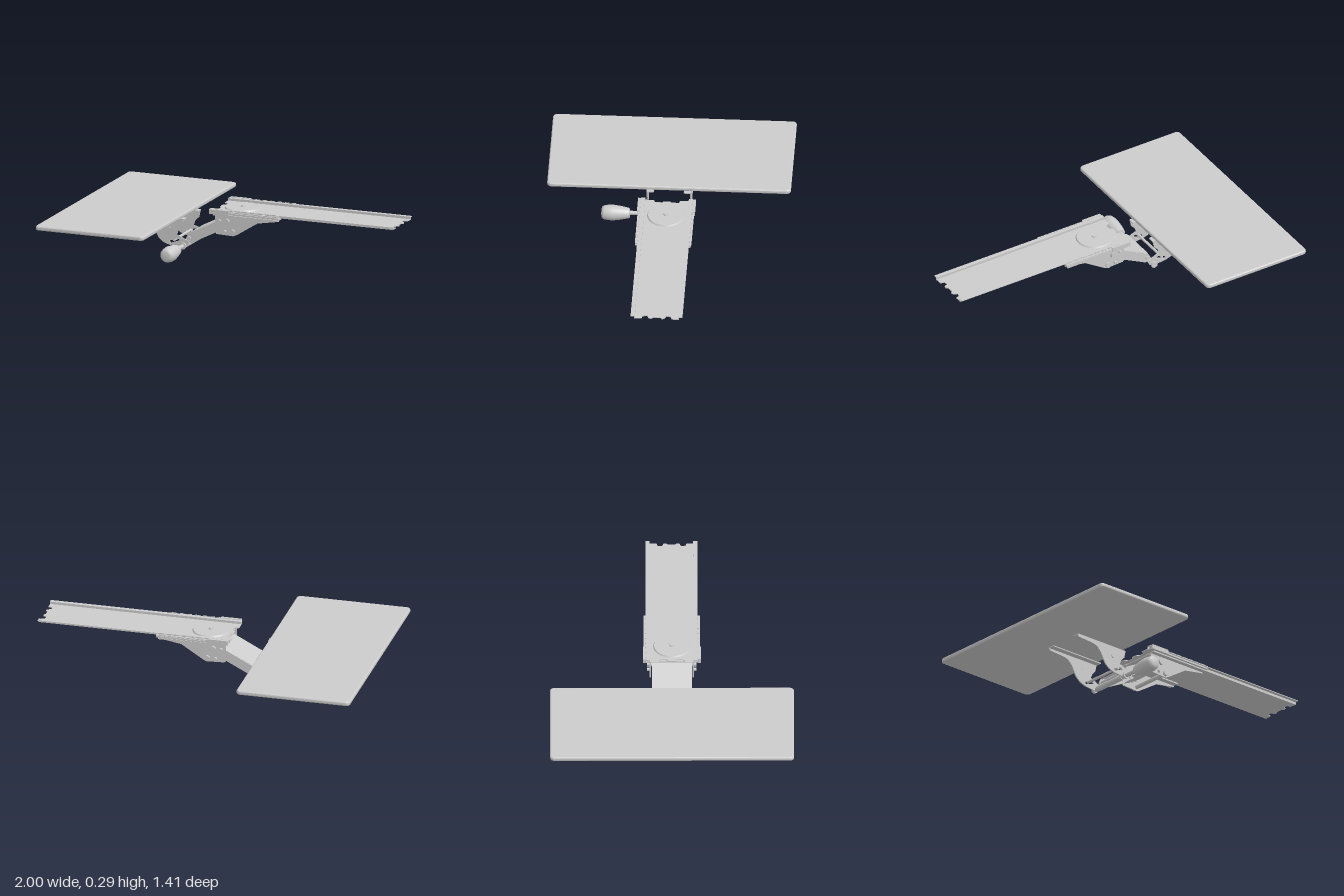
import * as THREE from 'three';

const mat = new THREE.MeshStandardMaterial({ color: 0xcccccc, side: THREE.DoubleSide });

// polygon (x, y) as a Shape
const poly = (pts) => new THREE.Shape(pts.map(([x, y]) => new THREE.Vector2(x, y)));

function circleHole(shape, x, y, r) {
  const p = new THREE.Path();
  p.absarc(x, y, r, 0, Math.PI * 2, true);
  shape.holes.push(p);
  return shape;
}

function roundedRect(x0, y0, x1, y1, r) {
  const s = new THREE.Shape();
  s.absarc(x1 - r, y1 - r, r, 0, Math.PI / 2);
  s.absarc(x0 + r, y1 - r, r, Math.PI / 2, Math.PI);
  s.absarc(x0 + r, y0 + r, r, Math.PI, Math.PI * 1.5);
  s.absarc(x1 - r, y0 + r, r, Math.PI * 1.5, Math.PI * 2);
  return s;
}

export function createModel() {
  const model = new THREE.Group();
  model.name = 'adjustableTrayArm';

  const add = (name, geo, x = 0, y = 0, z = 0) => {
    const m = new THREE.Mesh(geo, mat);
    m.name = name;
    m.position.set(x, y, z);
    model.add(m);
    return m;
  };
  const box = (name, x0, x1, y0, y1, z0, z1) =>
    add(name, new THREE.BoxGeometry(x1 - x0, y1 - y0, z1 - z0), (x0 + x1) / 2, (y0 + y1) / 2, (z0 + z1) / 2);
  // upright side plate, centred on z
  const sidePlate = (name, shape, z, t = 0.008) =>
    add(name, new THREE.ExtrudeGeometry(shape, { depth: t, bevelEnabled: false, curveSegments: 10 }), 0, 0, z - t / 2);
  // horizontal plate; shape y becomes -z
  const flatPlate = (name, shape, y, t) => {
    const g = new THREE.ExtrudeGeometry(shape, { depth: t, bevelEnabled: false, curveSegments: 10 });
    return add(name, g.rotateX(-Math.PI / 2), 0, y, 0);
  };
  // round bar along z
  const bar = (name, x, y, z0, z1, r, sides = 20) =>
    add(name, new THREE.CylinderGeometry(r, r, z1 - z0, sides).rotateX(Math.PI / 2), x, y, (z0 + z1) / 2);

  // tray board with rounded rim
  const b = 0.009;
  const board = new THREE.ExtrudeGeometry(roundedRect(-0.332 + b, -0.69 + b, 0.332 - b, 0.69 - b, 0.016), {
    depth: 0.026 - 2 * b, bevelThickness: b, bevelSize: b, bevelSegments: 4, curveSegments: 8,
  }).rotateX(-Math.PI / 2);
  add('trayBoard', board, -0.658, 0.203 + b, 0);

  // track web with notched ends
  const web = poly([
    [-0.145, -0.125], [0.972, -0.125], [0.972, -0.085], [0.95, -0.08], [0.945, -0.055], [0.968, -0.045], [0.972, -0.03],
    [0.96, -0.02], [0.96, 0.02], [0.972, 0.03], [0.968, 0.045], [0.945, 0.055], [0.95, 0.08], [0.972, 0.085], [0.972, 0.125],
    [-0.145, 0.125], [-0.145, 0.075], [-0.12, 0.065], [-0.12, 0.03], [-0.135, 0.02], [-0.135, -0.02],
    [-0.12, -0.03], [-0.12, -0.065], [-0.145, -0.075],
  ]);
  flatPlate('trackWeb', web, 0.266, 0.005);

  // swivel disc with centre bolt
  add('swivelDisc', new THREE.CylinderGeometry(0.1, 0.105, 0.008, 48), 0, 0.275, 0);
  add('swivelBolt', new THREE.CylinderGeometry(0.012, 0.015, 0.01, 6), 0, 0.283, 0);
  add('swivelHub', new THREE.CylinderGeometry(0.09, 0.09, 0.014, 40), 0, 0.259, 0);
  box('swivelTopPlate', -0.118, 0.13, 0.247, 0.254, -0.116, 0.116);

  // profiles of the side plates
  const bracket = () => poly([[-0.12, 0.254], [-0.12, 0.145], [-0.112, 0.137], [-0.01, 0.133], [0.01, 0.14],
    [0.14, 0.222], [0.27, 0.244], [0.27, 0.254]]);
  const armSide = () => circleHole(poly([[-0.29, 0.118], [-0.116, 0.207], [-0.05, 0.238], [-0.02, 0.23], [-0.02, 0.185],
    [-0.116, 0.144], [-0.27, 0.066], [-0.295, 0.07], [-0.305, 0.09]]), -0.08, 0.19, 0.01);
  const mount = () => {
    const s = poly([[-0.67, 0.203], [-0.665, 0.184], [-0.56, 0.178], [-0.525, 0.168], [-0.498, 0.14], [-0.465, 0.082],
      [-0.435, 0.058], [-0.4, 0.046], [-0.33, 0.038], [-0.29, 0.05], [-0.275, 0.08], [-0.3, 0.085], [-0.33, 0.1],
      [-0.355, 0.108], [-0.345, 0.135], [-0.322, 0.158], [-0.312, 0.203]]);
    const slot = new THREE.Path([[-0.4, 0.07], [-0.345, 0.09], [-0.335, 0.078], [-0.392, 0.058]]
      .map(([x, y]) => new THREE.Vector2(x, y)));
    s.holes.push(slot);
    return s;
  };

  for (const s of [-1, 1]) {
    const side = s > 0 ? 'left' : 'right';
    const span = (name, x0, x1, y0, y1, za, zb) =>
      box(name, x0, x1, y0, y1, Math.min(s * za, s * zb), Math.max(s * za, s * zb));

    // raised track flange
    span(side + 'TrackRiser', -0.145, 0.974, 0.266, 0.285, 0.123, 0.127);
    span(side + 'TrackFlange', -0.145, 0.974, 0.281, 0.285, 0.125, 0.147);

    // glide running along the flange, with small teeth
    span(side + 'GlideStrip', -0.14, 0.28, 0.262, 0.272, 0.13, 0.158);
    span(side + 'GlideCap', -0.14, 0.28, 0.275, 0.28, 0.135, 0.16);
    span(side + 'GlideEnd', -0.14, -0.02, 0.26, 0.287, 0.148, 0.164);
    for (let i = 0; i < 9; i++) {
      const x = -0.12 + i * 0.045;
      span(side + 'GlideTooth', x, x + 0.025, 0.27, 0.288, 0.144, 0.15);
    }
    span(side + 'GlideShelf', -0.12, 0.27, 0.25, 0.258, 0.085, 0.152);

    // swivel bracket, arm and tray mount sides
    sidePlate(side + 'SwivelBracket', bracket(), s * 0.121);
    sidePlate(side + 'ArmSide', armSide(), s * 0.109);
    sidePlate(side + 'TrayMount', mount(), s * 0.123, 0.007);
    span(side + 'TrayMountFoot', -0.67, -0.312, 0.197, 0.204, 0.085, 0.126);

    // bolt heads
    for (const [x, y, r] of [[-0.046, 0.216, 0.018], [-0.012, 0.156, 0.018], [-0.092, 0.216, 0.009], [-0.06, 0.156, 0.009]]) {
      const z = s * 0.125;
      bar(side + 'BracketBolt', x, y, Math.min(z, z + s * 0.014), Math.max(z, z + s * 0.014), r, r > 0.01 ? 6 : 16);
    }
    bar(side + 'MountBolt', -0.405, 0.143, s * 0.125 - 0.006, s * 0.125 + 0.006, 0.013);
  }

  // arm top channel and lower link
  const len = Math.hypot(0.24, 0.12);
  const top = add('armTopPlate', new THREE.BoxGeometry(len, 0.007, 0.218), -0.17, 0.176, 0);
  top.rotation.z = Math.atan2(0.12, 0.24);
  const link = add('armLowerLink', new THREE.BoxGeometry(0.09, 0.006, 0.2), -0.075, 0.165, 0);
  link.rotation.z = 0.46;

  // cross pins and tubes
  bar('upperPivotTube', -0.046, 0.216, -0.118, 0.118, 0.016);
  bar('lowerPivotTube', -0.012, 0.156, -0.118, 0.118, 0.012);
  bar('armPivotTube', -0.285, 0.092, -0.12, 0.12, 0.013);
  bar('linkPin', -0.37, 0.078, -0.13, 0.13, 0.008);

  // clamp rod and grip
  bar('clampTube', -0.315, 0.048, -0.105, 0.105, 0.017);
  bar('clampRod', -0.315, 0.048, -0.135, 0.225, 0.012);
  bar('clampNut', -0.315, 0.048, -0.142, -0.127, 0.02, 6);
  bar('clampWasher', -0.315, 0.048, 0.127, 0.137, 0.02);
  const profile = [[0, 0], [0.025, 0], [0.03, 0.005], [0.039, 0.05], [0.045, 0.095], [0.044, 0.12], [0.04, 0.145],
    [0.033, 0.157], [0.02, 0.161], [0, 0.162]].map(([r, h]) => new THREE.Vector2(r, h));
  add('clampGrip', new THREE.LatheGeometry(profile, 32).rotateX(Math.PI / 2), -0.315, 0.046, 0.22);

  // the assembly sits slightly turned about its swivel
  model.rotation.y = 0.045;
  model.position.set(0.02, 0, -0.04);
  const root = new THREE.Group();
  root.add(model);
  return root;
}
